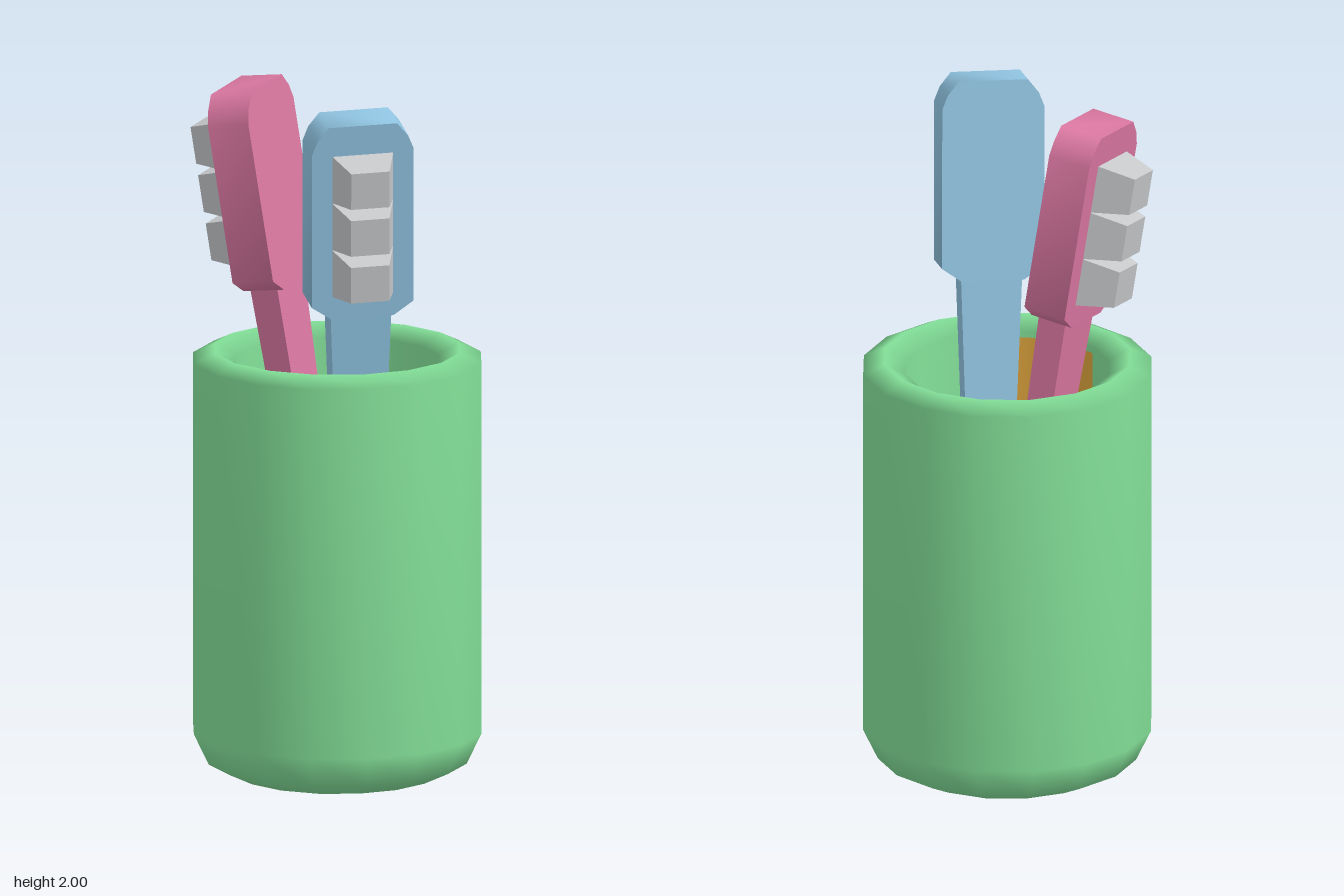
import * as THREE from 'three';
import { toCreasedNormals } from 'three/addons/utils/BufferGeometryUtils.js';

function material(name, color, side = THREE.FrontSide) {
  const m = new THREE.MeshStandardMaterial({ color, side });
  m.name = name;
  return m;
}

function mesh(name, geometry, mat) {
  const m = new THREE.Mesh(geometry, mat);
  m.name = name;
  return m;
}

const points = (list) => list.map(([x, y]) => new THREE.Vector2(x, y));

// Box whose +axis end is scaled to a different size
function taperedBox(w, h, d, axis, sx, sy, sz) {
  const g = new THREE.BoxGeometry(w, h, d);
  const p = g.attributes.position;
  for (let i = 0; i < p.count; i++) {
    const v = new THREE.Vector3().fromBufferAttribute(p, i);
    if (v[axis] > 0) p.setXYZ(i, v.x * sx, v.y * sy, v.z * sz);
  }
  g.computeVertexNormals();
  return g;
}

// Brush built along +y with its bristles facing +z
function makeBrush(name, mat, bristleMat) {
  const brush = new THREE.Group();
  brush.name = name;

  // Handle widening towards the neck
  const handle = mesh('handle', taperedBox(0.08, 1.36, 0.06, 'y', 2.25, 1, 1.45), mat);
  handle.position.y = 0.68;
  brush.add(handle);

  // Head outline with chamfered top and shoulders
  const half = [[0.09, 1.315], [0.148, 1.355], [0.148, 1.82], [0.132, 1.86], [0.1, 1.9]];
  const outline = [...half, ...half.map(([x, y]) => [-x, y]).reverse()];
  const head = new THREE.ExtrudeGeometry(new THREE.Shape(points(outline)),
    { depth: 0.13, bevelEnabled: false });
  head.translate(0, 0, -0.065);
  brush.add(mesh('head', toCreasedNormals(head, 1), mat));

  // Three tufts narrowing outwards
  for (let i = 0; i < 3; i++) {
    const tuft = mesh('bristles', taperedBox(0.18, 0.143, 0.11, 'z', 0.62, 0.76, 1), bristleMat);
    tuft.position.set(0, 1.455 + i * 0.143, 0.115);
    brush.add(tuft);
  }
  return brush;
}

// Stand a brush at a base point, leaning along dir and facing a horizontal direction
function place(brush, base, dir, facing) {
  const y = new THREE.Vector3(...dir).normalize();
  const z = new THREE.Vector3(...facing);
  z.addScaledVector(y, -z.dot(y)).normalize();
  const x = new THREE.Vector3().crossVectors(y, z);
  brush.quaternion.setFromRotationMatrix(new THREE.Matrix4().makeBasis(x, y, z));
  brush.position.set(...base);
  return brush;
}

export function createModel() {
  const green = material('cup green', 0x82de97);
  const orange = material('inner orange', 0xe0a63e);
  const blue = material('brush blue', 0x8fc3e0);
  const pink = material('brush pink', 0xdc78a2);
  const grey = material('bristle grey', 0xc6c8ca);

  const model = new THREE.Group();
  model.name = 'toothbrushCup';

  // Cup shell: base, outer wall, rounded rim, inner wall
  const cup = new THREE.Group();
  cup.name = 'cup';
  cup.position.z = -0.04;
  const step = Math.PI / 8;
  cup.add(mesh('cupShell', new THREE.LatheGeometry(points([
    [0, 0], [0.295, 0.002], [0.375, 0.04], [0.418, 0.13], [0.418, 1.21],
    [0.355, 1.24], [0.294, 1.205], [0.294, 0.12],
  ]), 16, step / 2), green));

  // Inner floor and the coloured part of the inner wall
  cup.add(mesh('cupFloor', new THREE.LatheGeometry(points([
    [0.291, 0.2], [0.291, 0.1], [0, 0.1],
  ]), 16, step / 2), orange));
  cup.add(mesh('innerWallPanel', new THREE.LatheGeometry(points([
    [0.29, 1.19], [0.29, 0.15],
  ]), 3, step * 12.5, step * 3), orange));
  model.add(cup);

  model.add(place(makeBrush('blueBrush', blue, grey),
    [0.04, 0.1, 0.01], [-0.056, 1, 0.134], [-0.2, 0, 0.98]));
  model.add(place(makeBrush('pinkBrush', pink, grey),
    [0.07, 0.11, -0.13], [-0.144, 1, -0.053], [-0.655, 0, -0.757]));
  return model;
}
